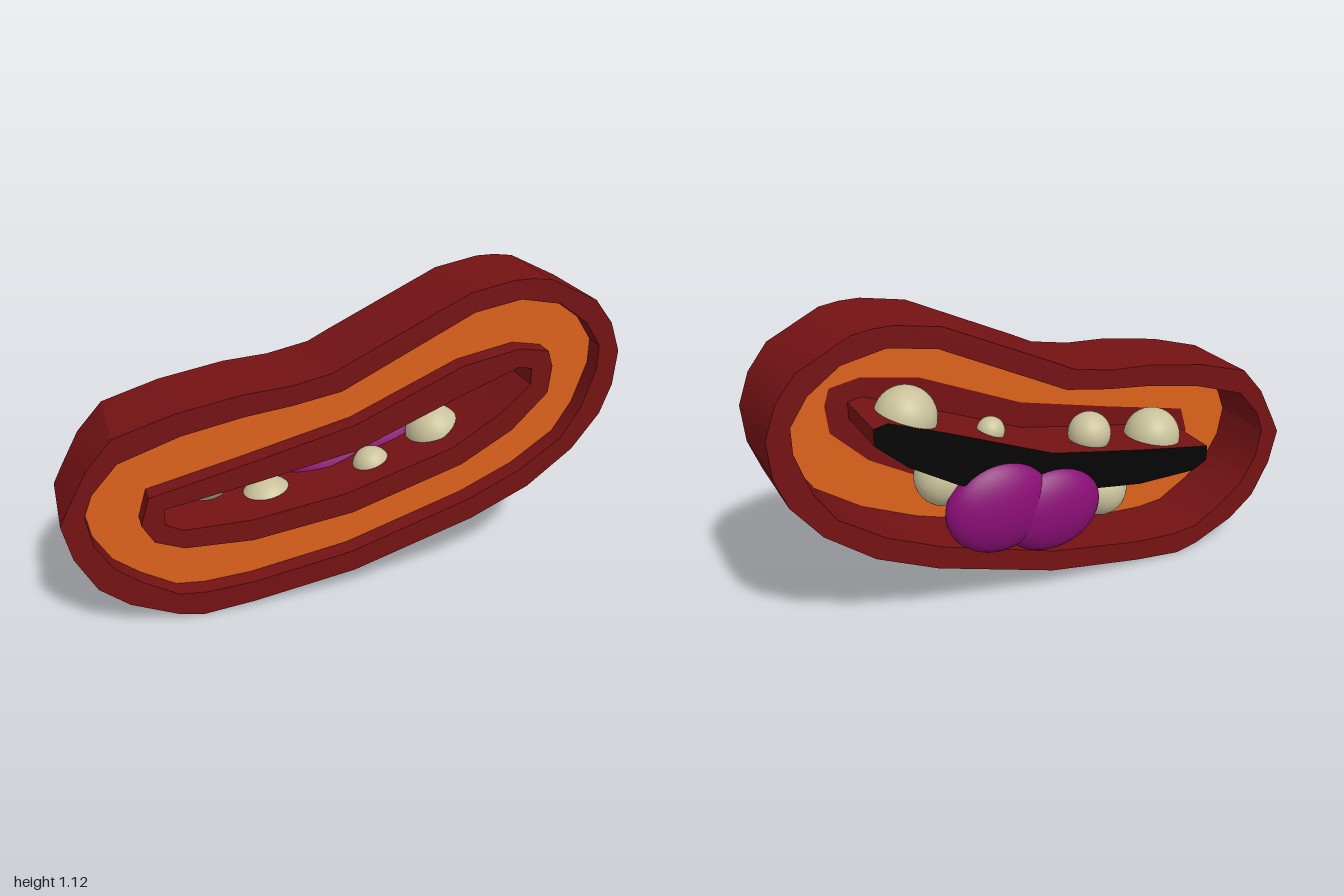
import * as THREE from 'three';
import { toCreasedNormals } from 'three/addons/utils/BufferGeometryUtils.js';

const BACK = -0.13, PLATE = 0.12, FRONT = 0.19;

// Outlines in hundredths of a unit, x then y, clockwise from the left end
const toPoints = (a) => {
  const points = [];
  for (let i = 0; i < a.length; i += 2) points.push(new THREE.Vector2(a[i] / 100, a[i + 1] / 100));
  return points;
};
const rimOuter = toPoints([-100, 43, -97, 49, -90, 62, -81, 72, -61, 78, -38, 82, -22, 83, -7, 86, 1, 90,
  41, 109, 57, 112, 64, 112, 71, 111, 89, 102, 96, 93, 100, 82, 99, 69, 95, 58, 85, 45, 68, 32,
  46, 22, 1, 8, -36, 2, -55, 0, -64, 2, -80, 9, -90, 17, -97, 30]);
const rimInner = toPoints([-92, 45, -89, 53, -80, 63, -59, 70, -38, 74, -21, 76, -4, 79, 43, 102, 60, 105,
  75, 102, 86, 94, 92, 85, 92, 76, 87, 61, 80, 50, 64, 39, 44, 30, 0, 16, -36, 10, -53, 9,
  -63, 10, -75, 17, -84, 24, -90, 34]);
const lipOuter = toPoints([-74, 39, -71, 49, -36, 57, 1, 66, 40, 83, 61, 87, 72, 85, 74, 79, 73, 69,
  60, 56, 41, 45, 0, 32, -36, 27, -60, 28, -70, 32]);
const opening = toPoints([-66, 44, -36, 49, 1, 56, 40, 72, 61, 80, 66, 79, 66, 73, 55, 63, 37, 52,
  -2, 40, -36, 35, -60, 35, -66, 38]);

const material = (color, side = THREE.FrontSide) => new THREE.MeshStandardMaterial({ color, side });
const red = material(0x751214);
const thinRed = material(0x751214, THREE.DoubleSide);
const orange = material(0xdc621c, THREE.DoubleSide);
const black = material(0x050505, THREE.DoubleSide);
const ivory = material(0xc8c19a);
const purple = material(0x8a0e76);

// Holes run against the outline so that their walls face inward
function ringShape(outer, inner) {
  const shape = new THREE.Shape(outer);
  shape.holes.push(new THREE.Path([...inner].reverse()));
  return shape;
}

function ring(outer, inner, z0, z1) {
  const geometry = new THREE.ExtrudeGeometry(ringShape(outer, inner), { depth: z1 - z0, bevelEnabled: false });
  return toCreasedNormals(geometry.translate(0, 0, z0), 0.5);
}

// Open wall along an outline, facing the inside of the outline
function inwardWall(points, z0, z1) {
  const positions = [];
  points.forEach((a, i) => {
    const b = points[(i + 1) % points.length];
    positions.push(a.x, a.y, z0, b.x, b.y, z0, b.x, b.y, z1, a.x, a.y, z0, b.x, b.y, z1, a.x, a.y, z1);
  });
  const geometry = new THREE.BufferGeometry();
  geometry.setAttribute('position', new THREE.Float32BufferAttribute(positions, 3));
  return toCreasedNormals(geometry, 0.5);
}

export function createModel() {
  const model = new THREE.Group();
  model.name = 'mouth';
  const add = (name, geometry, mat, parent = model) => {
    const mesh = new THREE.Mesh(geometry, mat);
    mesh.name = name;
    parent.add(mesh);
    return mesh;
  };

  // Deep outer rim, open at the back
  add('outerRim', ring(rimOuter, rimInner, BACK, FRONT), red);

  // Recessed band between rim and inner lip
  add('lipBand', new THREE.ShapeGeometry(ringShape(rimInner, lipOuter)).translate(0, 0, PLATE), orange);

  // Raised inner lip, with a thin wall running back to the throat
  add('innerLip', ring(lipOuter, opening, PLATE, FRONT), red);
  add('mouthWall', inwardWall(opening, BACK, PLATE), thinRed);
  add('throat', new THREE.ShapeGeometry(new THREE.Shape(opening)).translate(0, 0, BACK), black);

  // Teeth: x, y, z, radius
  const teeth = new THREE.Group();
  teeth.name = 'teeth';
  model.add(teeth);
  const upper = [[-0.49, 0.47, 0, 0.108], [-0.2, 0.55, -0.02, 0.08], [0.2, 0.645, -0.02, 0.05], [0.51, 0.76, -0.02, 0.108]];
  const lower = [[-0.26, 0.3, 0, 0.105], [0.12, 0.42, 0.04, 0.07], [0.375, 0.5, 0, 0.105]];
  for (const [name, row] of [['upperTooth', upper], ['lowerTooth', lower]]) {
    for (const [x, y, z, r] of row) {
      add(name, new THREE.SphereGeometry(r, 32, 20), ivory, teeth).position.set(x, y, z);
    }
  }

  // Tongue made of two overlapping lobes
  for (const [x, y, ry] of [[0.01, 0.335, 0.165], [0.215, 0.393, 0.177]]) {
    const lobe = add('tongueLobe', new THREE.SphereGeometry(1, 40, 24), purple);
    lobe.scale.set(0.2, ry, 0.088);
    lobe.position.set(x, y, -0.105);
  }

  return model;
}
